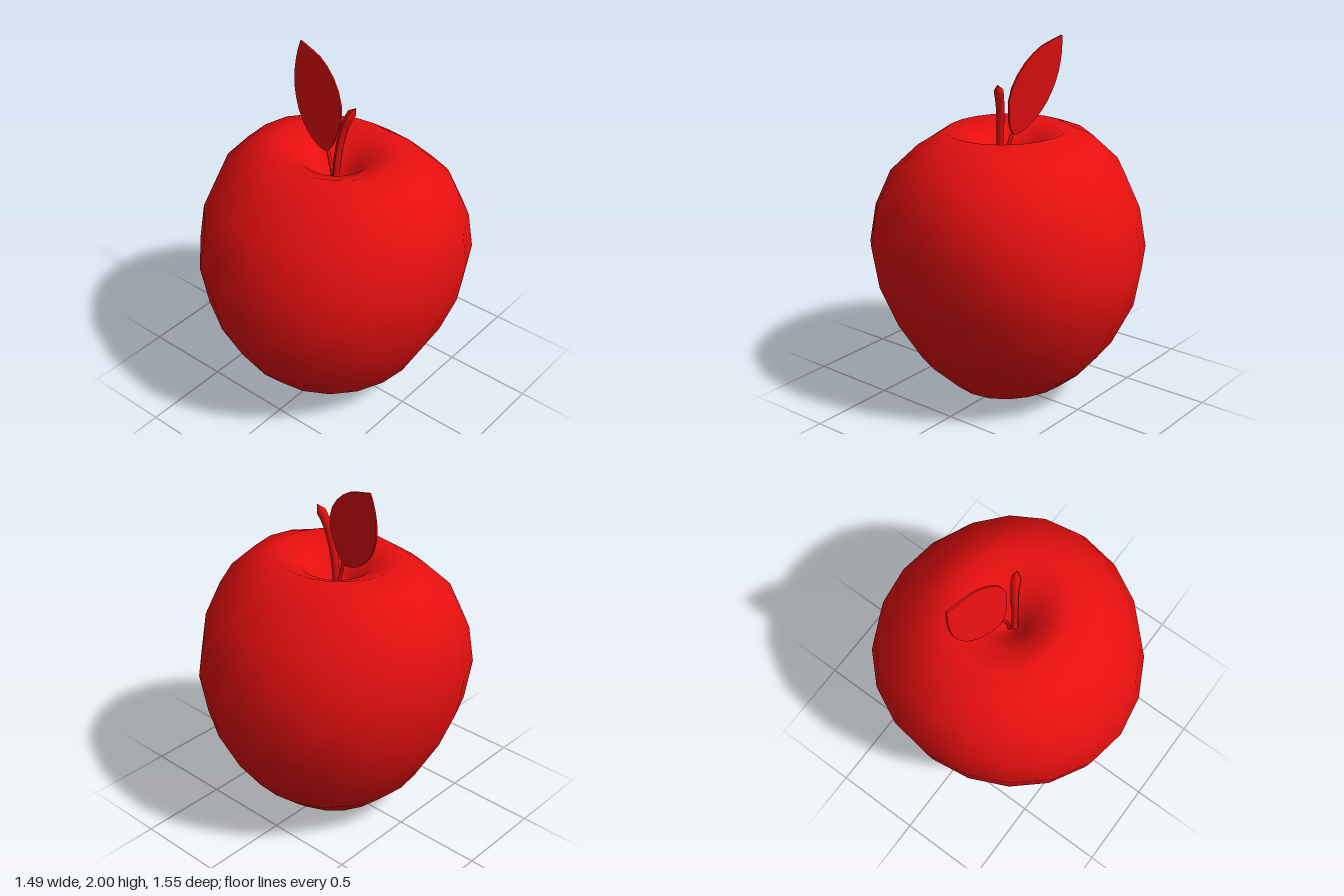
import * as THREE from 'three';

const SIDES = 20;

// Rings from the stem hollow, over the shoulder, down to the base dimple.
// Each ring: half width in x and its height there, half depth in z and its height there.
const RINGS = [
  [0.05, 1.31, 0.05, 1.31],
  [0.11, 1.38, 0.11, 1.38],
  [0.2, 1.47, 0.19, 1.47],
  [0.35, 1.53, 0.32, 1.53],
  [0.5, 1.48, 0.47, 1.42],
  [0.64, 1.35, 0.635, 1.26],
  [0.72, 1.17, 0.73, 1.05],
  [0.745, 0.96, 0.775, 0.83],
  [0.71, 0.72, 0.735, 0.6],
  [0.63, 0.5, 0.61, 0.35],
  [0.49, 0.24, 0.49, 0.21],
  [0.31, 0.065, 0.36, 0.1],
  [0.22, 0.04, 0.24, 0.04],
  [0.12, 0.025, 0.12, 0.005],
  [0.06, 0.07, 0.06, 0.06],
];

function fruitGeometry() {
  const pos = [0, 1.29, 0];
  const index = [];
  const at = (ring, side) => 1 + ring * SIDES + (side % SIDES);
  for (const [rx, yx, rz, yz] of RINGS) {
    for (let i = 0; i < SIDES; i++) {
      const a = (i / SIDES) * Math.PI * 2;
      const c = Math.cos(a), s = Math.sin(a);
      pos.push(rx * c, yx * c * c + yz * s * s, rz * s);
    }
  }
  pos.push(0, 0.09, 0);
  const last = RINGS.length - 1;
  const bottom = pos.length / 3 - 1;
  for (let i = 0; i < SIDES; i++) {
    index.push(0, at(0, i + 1), at(0, i));
    for (let r = 0; r < last; r++) {
      const a = at(r, i), b = at(r, i + 1), c = at(r + 1, i + 1), d = at(r + 1, i);
      index.push(a, b, c, a, c, d);
    }
    index.push(at(last, i), at(last, i + 1), bottom);
  }
  const g = new THREE.BufferGeometry();
  g.setAttribute('position', new THREE.Float32BufferAttribute(pos, 3));
  g.setIndex(index);
  g.computeVertexNormals();
  return g;
}

// Round stalk along a curve, flaring towards the tip, with a domed end
function stalkGeometry(points, radius, flare) {
  const curve = new THREE.CatmullRomCurve3(points.map(p => new THREE.Vector3(...p)));
  const rows = 12, sides = 8;
  const g = new THREE.TubeGeometry(curve, rows, radius, sides, false);
  const p = g.attributes.position;
  const v = new THREE.Vector3();
  for (let r = 0; r <= rows; r++) {
    const centre = curve.getPointAt(r / rows);
    const k = r === rows ? 0.01 : 1 + flare * Math.pow(r / rows, 3);
    for (let j = 0; j <= sides; j++) {
      const n = r * (sides + 1) + j;
      v.fromBufferAttribute(p, n).sub(centre).multiplyScalar(k).add(centre);
      p.setXYZ(n, v.x, v.y, v.z);
    }
  }
  g.computeVertexNormals();
  return g;
}

// Thin pointed leaf, sheared so that it leans back and turns slightly
function leafGeometry() {
  const shape = new THREE.Shape();
  shape.moveTo(-0.07, 1.48);
  shape.bezierCurveTo(-0.01, 1.5, 0.0, 1.6, 0.018, 1.68);
  shape.bezierCurveTo(0.02, 1.84, -0.14, 1.96, -0.23, 1.975);
  shape.lineTo(-0.33, 2.0);
  shape.bezierCurveTo(-0.36, 1.9, -0.36, 1.78, -0.32, 1.69);
  shape.bezierCurveTo(-0.28, 1.58, -0.16, 1.48, -0.07, 1.48);
  const g = new THREE.ExtrudeGeometry(shape, { depth: 0.01, bevelEnabled: false, curveSegments: 6 });
  const p = g.attributes.position;
  for (let i = 0; i < p.count; i++) {
    p.setZ(i, p.getZ(i) + 0.1 * p.getX(i) - 0.17 * (p.getY(i) - 1.5));
  }
  g.computeVertexNormals();
  return g;
}

export function createModel() {
  const group = new THREE.Group();
  group.name = 'apple';
  const red = new THREE.MeshStandardMaterial({ color: 0xe60f0f });
  const add = (name, geometry) => {
    const mesh = new THREE.Mesh(geometry, red);
    mesh.name = name;
    group.add(mesh);
  };

  add('fruit', fruitGeometry());
  add('stem', stalkGeometry(
    [[0.02, 1.29, 0.03], [0.033, 1.5, 0.02], [0.06, 1.67, 0], [0.09, 1.75, -0.015], [0.113, 1.79, -0.025]], 0.02, 0.4));
  add('leaf', leafGeometry());
  add('leafStalk', stalkGeometry(
    [[0, 1.29, 0.01], [-0.02, 1.4, 0.012], [-0.05, 1.5, 0.005]], 0.01, 0));
  return group;
}
